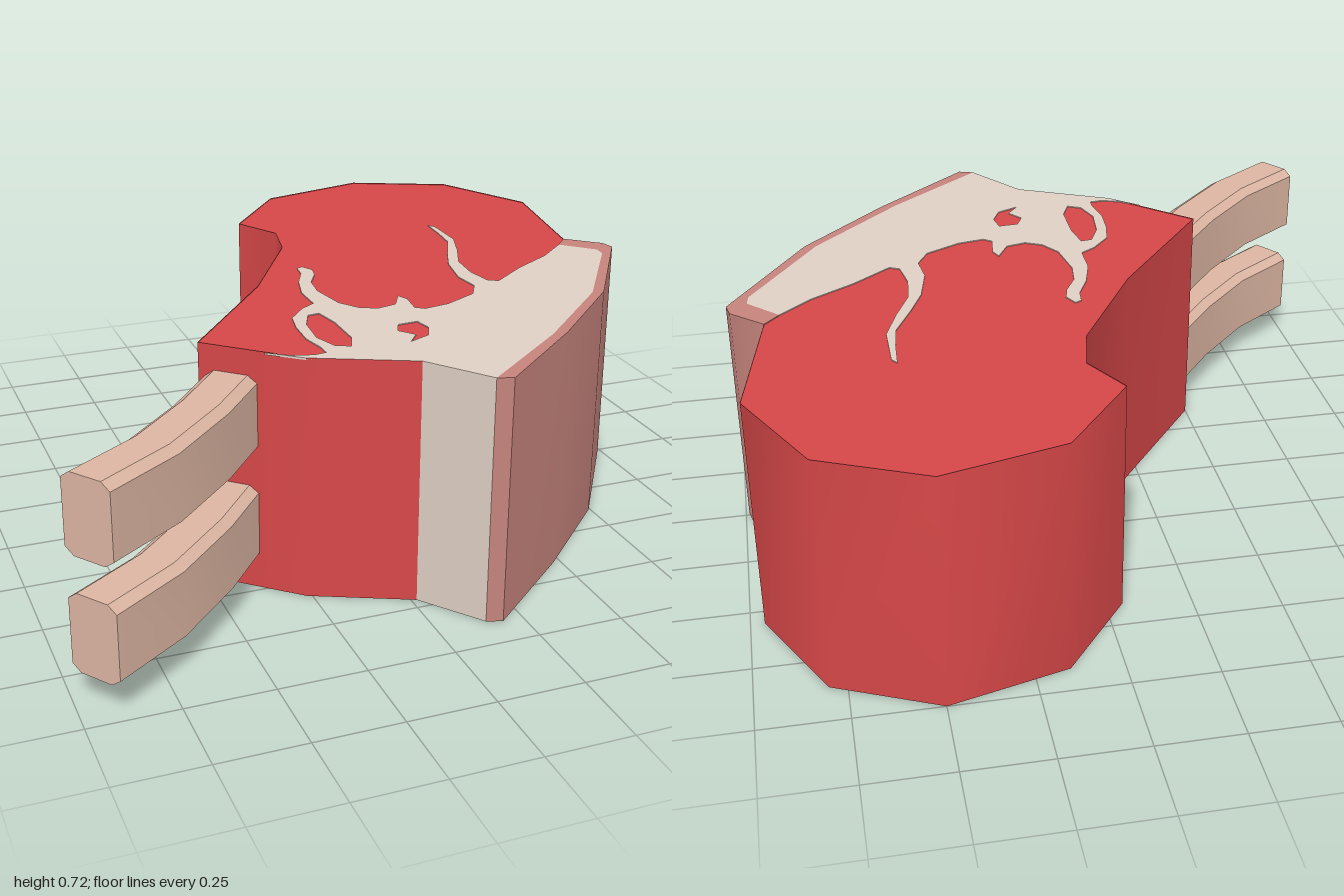
import * as THREE from 'three';
import { toCreasedNormals } from 'three/addons/utils/BufferGeometryUtils.js';

const HEIGHT = 0.72;

function material(name, color) {
  const m = new THREE.MeshStandardMaterial({ color, side: THREE.DoubleSide });
  m.name = name;
  return m;
}

function mesh(name, geometry, mat) {
  const m = new THREE.Mesh(geometry, mat);
  m.name = name;
  return m;
}

// Points are [x, z] pairs seen from above.
const toPath = (pts) => pts.map(([x, z]) => new THREE.Vector2(x, -z));

function flatShape(pts, holes = []) {
  const shape = new THREE.Shape(toPath(pts));
  holes.forEach((h) => shape.holes.push(new THREE.Path(toPath(h))));
  return shape;
}

// Thin plate lying in the top face, visible from above and below
function plate(pts, holes) {
  const g = new THREE.ExtrudeGeometry(flatShape(pts, holes), { depth: 0.006, bevelEnabled: false });
  return g.rotateX(-Math.PI / 2).translate(0, HEIGHT - 0.006, 0);
}

function build(positions, indices, crease) {
  const g = new THREE.BufferGeometry();
  g.setAttribute('position', new THREE.Float32BufferAttribute(positions, 3));
  g.setIndex(indices);
  return toCreasedNormals(g, crease);
}

// Upright wall following a run of outline points
function wall(pts) {
  const pos = [], idx = [];
  pts.forEach(([x, z], i) => {
    pos.push(x, 0, z, x, HEIGHT, z);
    const a = i * 2;
    if (i < pts.length - 1) idx.push(a, a + 1, a + 2, a + 2, a + 1, a + 3);
  });
  return build(pos, idx, 0.87);
}

// Curved bone: chamfered rectangle swept along a path of [x, z] points
function boneGeometry(path) {
  const w = 0.078, h = 0.113, cw = 0.028, ch = 0.02;
  const section = [
    [w, -h + ch], [w, h - ch], [w - cw, h], [-w + cw, h],
    [-w, h - ch], [-w, -h + ch], [-w + cw, -h], [w - cw, -h],
  ];
  const n = section.length, pos = [], idx = [];
  path.forEach(([x, z], i) => {
    const a = path[Math.max(i - 1, 0)], b = path[Math.min(i + 1, path.length - 1)];
    const dx = b[0] - a[0], dz = b[1] - a[1], len = Math.hypot(dx, dz);
    section.forEach(([s, y]) => pos.push(x - (dz / len) * s, y, z + (dx / len) * s));
    if (i === path.length - 1) return;
    for (let k = 0; k < n; k++) {
      const p = i * n + k, q = i * n + (k + 1) % n;
      idx.push(p, q, p + n, q, q + n, p + n);
    }
  });
  // End caps
  const last = (path.length - 1) * n;
  for (let k = 1; k < n - 1; k++) {
    idx.push(0, k + 1, k, last, last + k, last + k + 1);
  }
  return build(pos, idx, 0.45);
}

export function createModel() {
  const group = new THREE.Group();
  const red = material('red meat', 0xd64748);
  const cream = material('cream fat', 0xded0c4);
  const pink = material('pink rind', 0xc5837c);
  const bone = material('bone', 0xdcb5a2);

  // Outline, clockwise from above
  const rind = [
    [0.885, -0.12], [0.98, -0.035], [0.99, 0.01], [0.745, 0.385],
    [0.48, 0.65], [0.19, 0.9], [0.145, 0.885],
  ];
  const fatEdge = [[0.145, 0.885], [0.015, 0.71]];
  const meat = [
    [0.015, 0.71], [-0.265, 0.58], [-0.37, 0.485], [-0.5, 0.365], [-0.195, -0.025],
    [0, -0.36], [0.03, -0.51], [-0.05, -0.655], [0.15, -0.91], [0.5, -1],
    [0.8, -0.865], [0.96, -0.555], [0.885, -0.12],
  ];

  // Side walls; the underside is open
  group.add(mesh('rindWall', wall(rind), pink));
  group.add(mesh('fatWall', wall(fatEdge), cream));
  group.add(mesh('meatWall', wall(meat), red));

  // Top face
  const top = new THREE.ShapeGeometry(flatShape([...rind, ...meat.slice(0, -1)]));
  top.rotateX(-Math.PI / 2).translate(0, HEIGHT - 0.003, 0);
  group.add(mesh('meatTop', top, red));

  // Rind band on the top
  const bandInner = [
    [0.84, -0.07], [0.93, 0.02], [0.925, 0.06], [0.71, 0.38], [0.435, 0.65], [0.145, 0.885],
  ];
  const band = [...rind, ...bandInner.slice(0, -1).reverse()];
  group.add(mesh('rindTop', plate(band), pink));

  // Fat marbling with its veins
  const marbling = [
    [-0.355, 0.505], [-0.29, 0.55], [-0.235, 0.565], [-0.2, 0.56], [-0.2, 0.52],
    [-0.215, 0.445], [-0.21, 0.35], [-0.195, 0.275], [-0.14, 0.21], [-0.095, 0.18],
    [-0.095, 0.08], [-0.07, -0.015], [-0.035, -0.09], [-0.03, -0.14], [-0.01, -0.15],
    [0.01, -0.11], [0, -0.065], [-0.035, 0], [-0.045, 0.08], [-0.025, 0.2],
    [0.015, 0.26], [0.065, 0.285], [0.125, 0.27], [0.16, 0.205], [0.175, 0.24],
    [0.165, 0.315], [0.19, 0.335], [0.27, 0.32], [0.375, 0.265], [0.41, 0.2],
    [0.4, 0.11], [0.425, -0.015], [0.465, -0.11], [0.52, -0.225], [0.53, -0.315],
    [0.535, -0.415], [0.55, -0.395], [0.55, -0.245], [0.51, -0.13], [0.465, -0.025],
    [0.455, 0.08], [0.47, 0.17], [0.5, 0.185], [0.615, 0.095], [0.745, 0.015],
  ];
  const islands = [
    [[-0.145, 0.27], [-0.11, 0.265], [-0.095, 0.35], [-0.095, 0.48], [-0.12, 0.54],
      [-0.16, 0.52], [-0.185, 0.445], [-0.175, 0.34]],
    [[0.045, 0.565], [0.08, 0.52], [0.045, 0.475], [0.065, 0.43], [0.125, 0.425],
      [0.135, 0.48], [0.11, 0.535]],
  ];
  const fat = [...marbling, ...bandInner, [0.015, 0.71], [-0.265, 0.58]];
  group.add(mesh('fatTop', plate(fat, islands), cream));

  // Two rib bones, one above the other
  const bonePath = [[-0.948, 0.93], [-0.743, 0.785], [-0.563, 0.6], [-0.42, 0.42]];
  const ribGeometry = boneGeometry(bonePath);
  [['lowerBone', 0.203], ['upperBone', 0.532]].forEach(([name, y]) => {
    const rib = mesh(name, ribGeometry, bone);
    rib.position.y = y;
    group.add(rib);
  });

  return group;
}
